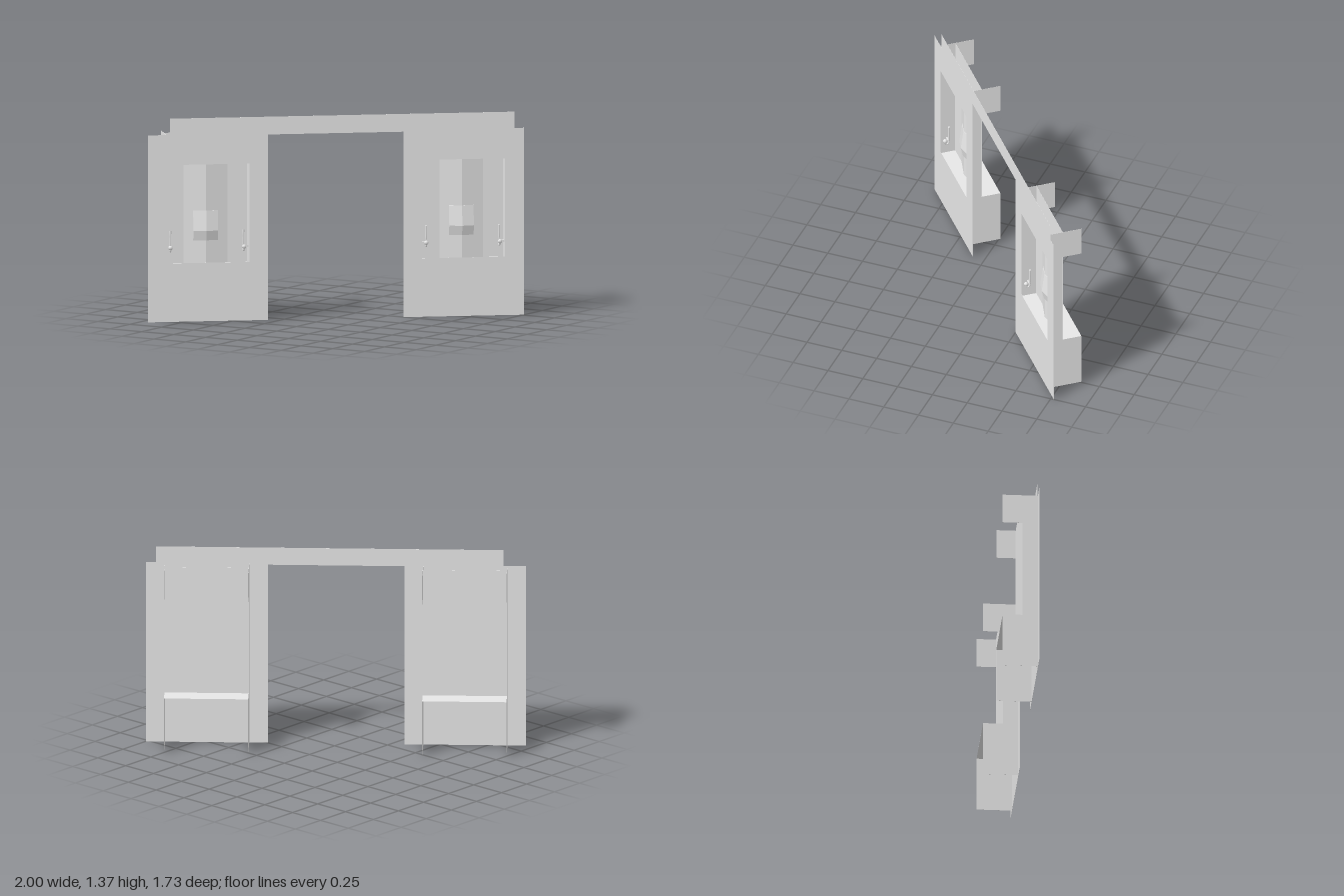
import * as THREE from 'three';

const T = 0.0008;           // sheet thickness
const HALF = 0.281;         // half width of a booth
const DEPTH = 0.236;        // full booth depth
const RECESS = 0.104;       // depth of the niche
const SHELF = 0.38, SILL = 0.394, HEAD = 1.057, SHOULDER = 1.26;

const grey = new THREE.MeshStandardMaterial({ color: 0xe6e6e6 });
grey.name = 'pale grey';

function mesh(geometry, name, parent) {
  const m = new THREE.Mesh(geometry, grey);
  m.name = name;
  parent.add(m);
  return m;
}

function outline(points) {
  return new THREE.Shape(points.map(([x, y]) => new THREE.Vector2(x, y)));
}

function sheet(shape) {
  return new THREE.ExtrudeGeometry(shape, { depth: T, bevelEnabled: false });
}

// Joins equal cross-sections (left to right, each running up the front and down the back)
function loft(sections) {
  const pos = [];
  const tri = (a, b, c) => pos.push(...a, ...b, ...c);
  const n = sections[0].length;
  for (let i = 0; i < sections.length - 1; i++) {
    for (let j = 0; j < n; j++) {
      const k = (j + 1) % n;
      const [a, b, c, d] = [sections[i][j], sections[i][k], sections[i + 1][k], sections[i + 1][j]];
      tri(a, c, b);
      tri(a, d, c);
    }
  }
  const first = sections[0], last = sections[sections.length - 1];
  for (let j = 1; j < n - 1; j++) {
    tri(first[0], first[j], first[j + 1]);
    tri(last[0], last[j + 1], last[j]);
  }
  const g = new THREE.BufferGeometry();
  g.setAttribute('position', new THREE.Float32BufferAttribute(pos, 3));
  g.computeVertexNormals();
  return g;
}

// Depth of the gently peaked niche lining at distance x from its middle
const liningZ = (x) => -RECESS + 0.032 * Math.max(0, 1 - Math.abs(x) / 0.1475);

// Small upright hook held off the side wall; side is -1 or 1
function addHook(booth, side) {
  const hook = new THREE.Group();
  hook.name = side > 0 ? 'leftHook' : 'rightHook';
  const at = (inset, y, z) => new THREE.Vector3(side * (HALF - inset), y, z);
  const stem = mesh(new THREE.CylinderGeometry(0.008, 0.005, 0.115, 6), 'hookStem', hook);
  stem.position.copy(at(0.035, 0.548, -0.049));
  const bracket = mesh(new THREE.BoxGeometry(0.035, 0.014, 0.01), 'hookBracket', hook);
  bracket.position.copy(at(0.0175, 0.495, -0.044));
  const curve = new THREE.CatmullRomCurve3([
    at(0.035, 0.5, -0.049), at(0.035, 0.475, -0.044), at(0.034, 0.468, -0.034),
    at(0.033, 0.476, -0.025), at(0.033, 0.495, -0.022),
  ]);
  mesh(new THREE.TubeGeometry(curve, 10, 0.006, 6), 'hookArm', hook);
  const knob = mesh(new THREE.SphereGeometry(0.015, 8, 6), 'hookKnob', hook);
  knob.position.copy(at(0.033, 0.495, -0.022));
  booth.add(hook);
}

function makeBooth() {
  const booth = new THREE.Group();

  // Side panels, cut away at the back between shelf and head
  const side = outline([
    [0, 0.005], [DEPTH, 0.005], [DEPTH, SHELF], [RECESS, SHELF],
    [RECESS, HEAD], [DEPTH, HEAD], [DEPTH, SHOULDER], [0, SHOULDER],
  ]);
  for (const s of [-1, 1]) {
    const panel = mesh(sheet(side), s > 0 ? 'leftSidePanel' : 'rightSidePanel', booth);
    panel.rotation.y = Math.PI / 2;
    panel.position.x = s * HALF - T / 2;
    addHook(booth, s);
  }

  // Back panel and shelf
  const back = mesh(new THREE.BoxGeometry(2 * HALF, SHOULDER - SHELF, T), 'backPanel', booth);
  back.position.set(0, (SHOULDER + SHELF) / 2, -RECESS - 2 * T);
  const shelf = mesh(new THREE.BoxGeometry(2 * HALF, T, DEPTH), 'shelf', booth);
  shelf.position.set(0, SHELF - T / 2, -DEPTH / 2);

  // Niche ceiling, facing down only
  const ceiling = mesh(new THREE.PlaneGeometry(2 * HALF, RECESS), 'nicheCeiling', booth);
  ceiling.rotation.x = Math.PI / 2;
  ceiling.position.set(0, HEAD, -RECESS / 2);

  // Peaked lining at the back of the niche
  mesh(loft([-HALF, -0.1475, 0, 0.1475, HALF].map((x) => {
    const z = liningZ(x);
    return [[x, SHELF, z], [x, HEAD, z], [x, HEAD, z - T], [x, SHELF, z - T]];
  })), 'nicheLining', booth);

  // Folded panel following the lining
  mesh(loft([-0.086, 0, 0.08].map((x) => {
    const z = liningZ(x);
    return [[x, 0.535, z], [x, 0.535, z + 0.006], [x, 0.6, z + 0.022],
      [x, 0.735, z + 0.003], [x, 0.735, z]];
  })), 'foldedPanel', booth);

  return booth;
}

export function createModel() {
  const model = new THREE.Group();
  model.name = 'boothWall';

  // Everything stands along a wall turned 40 degrees
  const frame = new THREE.Group();
  frame.name = 'turnedFrame';
  frame.rotation.y = THREE.MathUtils.degToRad(40);
  frame.position.set(0.0325, 0, 0.0388);
  model.add(frame);

  // Wall with a central doorway and two booth windows
  const wall = outline([
    [-1.275, 0], [-0.465, 0], [-0.465, 1.25], [0.447, 1.25], [0.447, 0], [1.26, 0],
    [1.26, SHOULDER], [1.195, SHOULDER], [1.195, 1.37], [-1.125, 1.37],
    [-1.125, SHOULDER], [-1.275, SHOULDER],
  ]);
  const centres = { rightBooth: -0.872, leftBooth: 0.852 };
  for (const [name, x] of Object.entries(centres)) {
    wall.holes.push(new THREE.Path([
      new THREE.Vector2(x - HALF, SILL), new THREE.Vector2(x - HALF, HEAD),
      new THREE.Vector2(x + HALF, HEAD), new THREE.Vector2(x + HALF, SILL),
    ]));
    const booth = makeBooth();
    booth.name = name;
    booth.position.x = x;
    frame.add(booth);
  }
  mesh(sheet(wall), 'wall', frame).position.z = -T / 2;

  return model;
}
